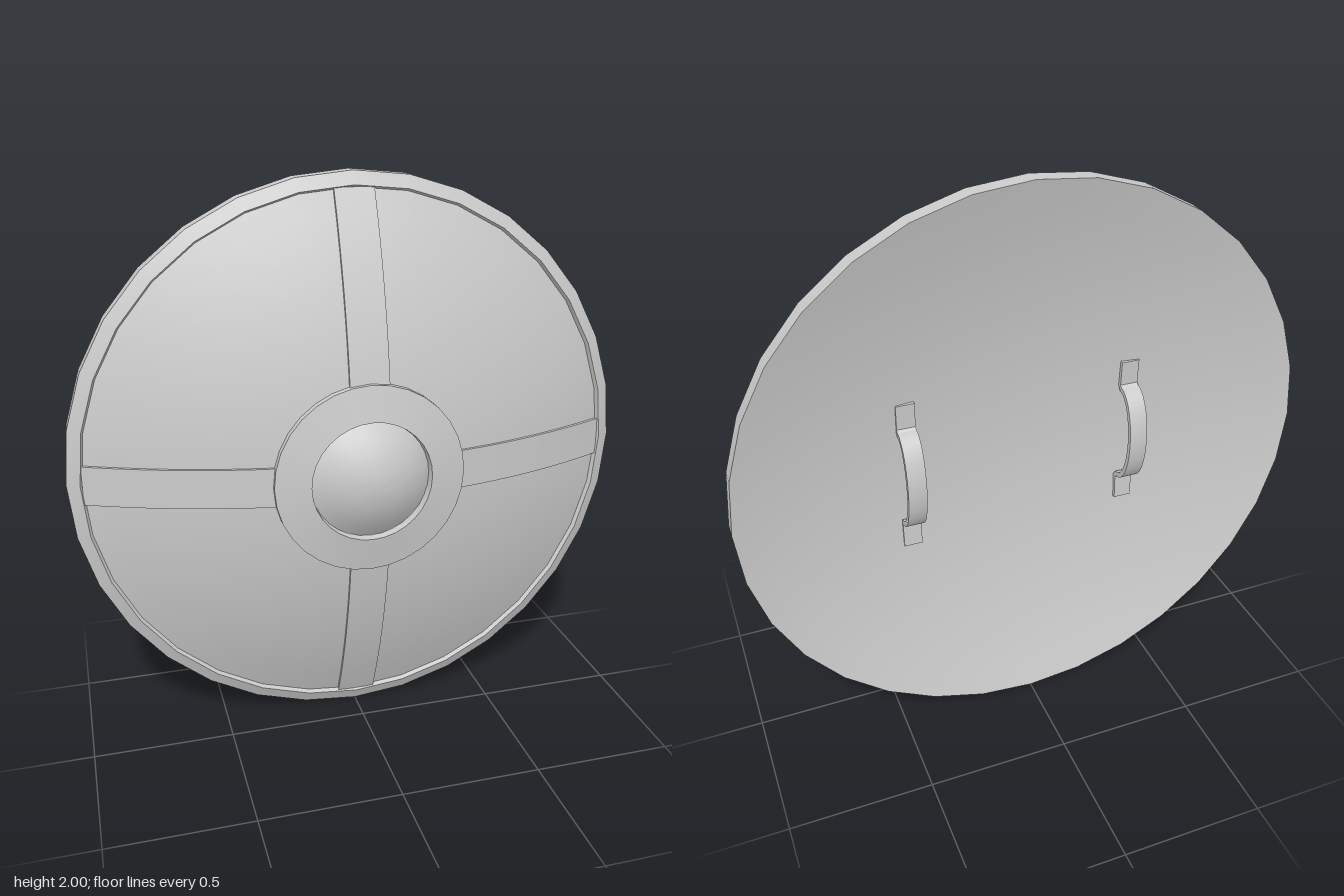
import * as THREE from 'three';
import { toCreasedNormals } from 'three/addons/utils/BufferGeometryUtils.js';

const material = new THREE.MeshStandardMaterial({ color: 0xcccccc });

// Depth (z) of the domed front and hollow back at radius r
const frontZ = (r) => 0.107 - 0.245 * r * r;
const backZ = (r) => -0.03 - 0.15 * r * r;

// Profile points [radius, z] at even radii along a depth curve
const sweep = (curve, from, to, steps) =>
  Array.from({ length: steps + 1 }, (_, i) => {
    const r = from + ((to - from) * i) / steps;
    return [r, curve(r)];
  });

export function createModel() {
  const shield = new THREE.Group();
  shield.name = 'shield';

  const add = (name, geometry, parent = shield) => {
    const mesh = new THREE.Mesh(geometry, material);
    mesh.name = name;
    parent.add(mesh);
    return mesh;
  };

  // Turned part whose axis points to the front
  const turned = (name, profile, crease, sides = 32, start = 0) => {
    const points = profile.map(([r, z]) => new THREE.Vector2(r, z));
    const geometry = new THREE.LatheGeometry(points, sides, start).rotateX(Math.PI / 2);
    add(name, toCreasedNormals(geometry, crease)).position.y = 1;
  };

  // Body: domed front, hollow back, and the raised rim with its inner lip
  turned('frontDome', sweep(frontZ, 0.955, 0, 10), 0.5);
  turned('hollowBack', sweep(backZ, 0, 1, 10), 0.5);
  turned('rim', [[1, -0.18], [1, -0.12], [0.955, -0.097], [0.945, -0.118]], 0.3);

  // Centre: a ring plate with the boss rising through its hole
  turned('centrePlate', [[0.335, 0.07], [0.335, 0.105], [0.212, 0.128], [0.208, 0.09]], 0.3);
  turned('boss', sweep((r) => 0.18 - 1.9 * r * r, 0.21, 0, 5), 0.6, 16, Math.PI / 16);

  // Four straps that follow the dome from the plate to the rim
  const inner = 0.32, outer = 0.948;
  for (let i = 0; i < 4; i++) {
    const geometry = new THREE.BoxGeometry(0.138, outer - inner, 0.03, 2, 8, 1);
    geometry.translate(0, (inner + outer) / 2, 0);
    const p = geometry.attributes.position;
    for (let k = 0; k < p.count; k++) {
      p.setZ(k, p.getZ(k) - 0.006 + frontZ(p.getY(k)));
    }
    geometry.rotateZ((i * Math.PI) / 2);
    add('strap', toCreasedNormals(geometry, 0.5)).position.y = 1;
  }

  // Handle centre line in (z, y): tab, bowed grip, tab
  const path = [[-0.066, 0.28], [-0.062, 0.19]];
  for (let i = 0; i <= 14; i++) {
    const a = (i / 14) * Math.PI;
    path.push([-0.075 - 0.085 * Math.sin(a), 0.175 * Math.cos(a)]);
  }
  path.push([-0.062, -0.19], [-0.066, -0.28]);
  const line = path.map(([z, y]) => new THREE.Vector2(z, y));

  // Thicken the line on both sides to a closed outline
  const side = (sign) => line.map((q, i) => {
    const t = line[Math.min(i + 1, line.length - 1)].clone().sub(line[Math.max(i - 1, 0)]).normalize();
    return new THREE.Vector2(q.x - t.y * 0.009 * sign, q.y + t.x * 0.009 * sign);
  });
  const outline = new THREE.Shape([...side(1), ...side(-1).reverse()]);
  const width = 0.064;
  const handle = new THREE.ExtrudeGeometry(outline, { depth: width, bevelEnabled: false });
  handle.translate(0, 0, -width / 2).rotateY(-Math.PI / 2);
  const handleGeometry = toCreasedNormals(handle, 0.5);
  for (const x of [-0.4, 0.4]) {
    add(x > 0 ? 'leftHandle' : 'rightHandle', handleGeometry).position.set(x, 1, 0);
  }

  return shield;
}
